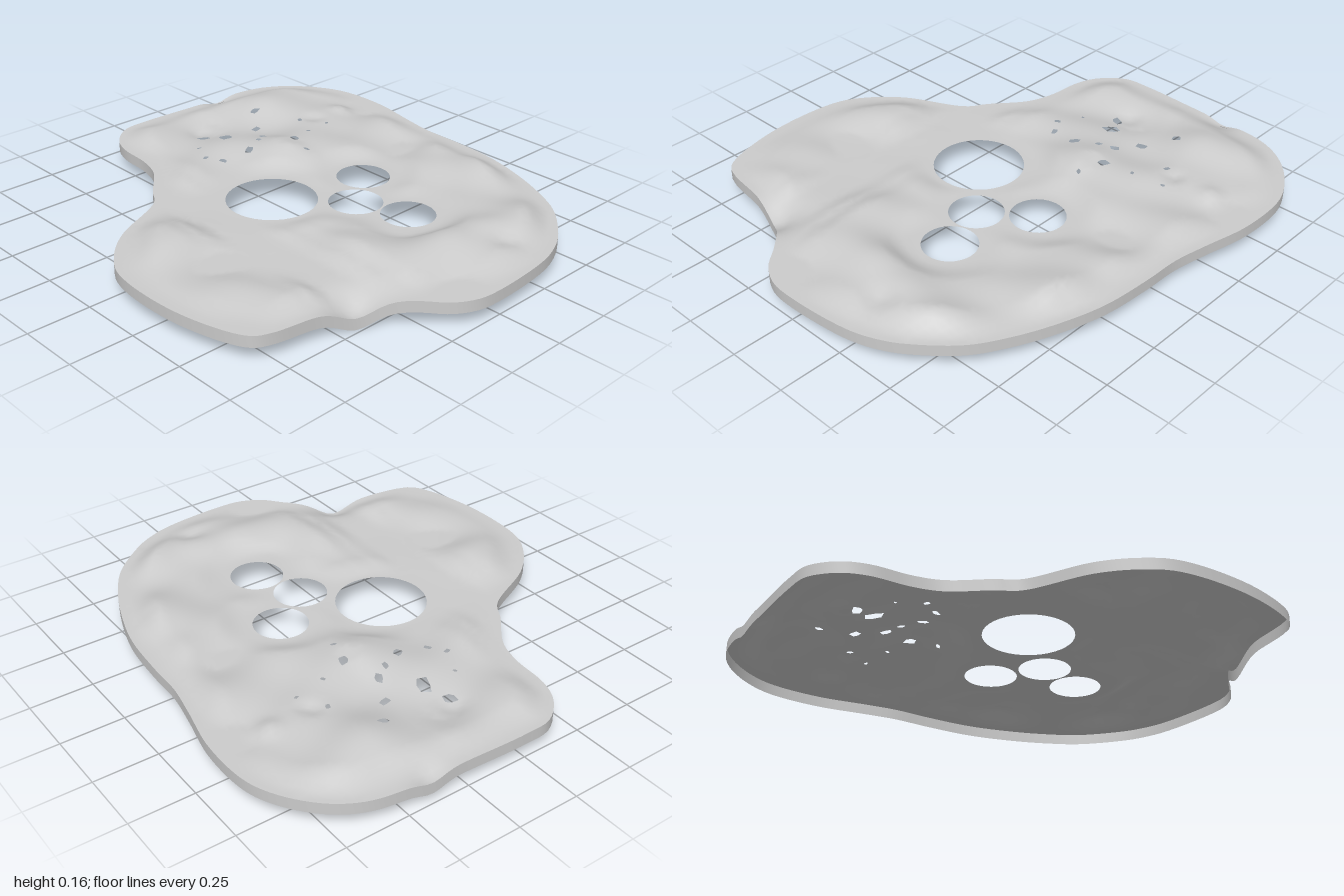
import * as THREE from 'three';

// Plan outline (x, z)
const OUTLINE = [
  [-0.115, -0.99], [0, -1], [0.27, -0.99], [0.4, -0.99], [0.61, -0.965], [0.72, -0.91], [0.81, -0.82],
  [0.875, -0.71], [0.9, -0.615], [0.9, -0.42], [0.86, -0.22], [0.835, -0.08], [0.83, 0.08], [0.81, 0.29],
  [0.755, 0.48], [0.69, 0.63], [0.61, 0.76], [0.465, 0.89], [0.39, 0.935], [0.275, 0.975], [0, 1],
  [-0.105, 0.99], [-0.19, 0.945], [-0.26, 0.865], [-0.34, 0.79], [-0.42, 0.74], [-0.55, 0.705], [-0.76, 0.67],
  [-0.82, 0.635], [-0.9, 0.37], [-0.89, 0.03], [-0.825, -0.09], [-0.71, -0.2], [-0.465, -0.33], [-0.41, -0.41],
  [-0.3, -0.55], [-0.265, -0.66], [-0.25, -0.815], [-0.21, -0.91],
];
// Holes: x, z, radius
const ROUND_HOLES = [[-0.11, -0.045, 0.18], [0.295, 0.055, 0.108], [0.11, 0.195, 0.107], [0.18, 0.405, 0.107]];
const SMALL_HOLES = [
  [0.075, -0.69, 0.024], [0.375, -0.695, 0.019], [0.12, -0.595, 0.034], [0.285, -0.585, 0.02], [-0.03, -0.59, 0.008],
  [-0.08, -0.485, 0.013], [-0.04, -0.42, 0.015], [0.085, -0.4, 0.022], [0.175, -0.445, 0.014], [0.23, -0.48, 0.019],
  [0.285, -0.34, 0.022], [0.25, -0.23, 0.011], [0.4, -0.375, 0.009], [0.47, -0.505, 0.012], [0.53, -0.4, 0.008],
];
// Height limit of the bumps above the rim, by x
const RIDGE = [
  [-0.9, 0.01], [-0.8, 0.02], [-0.6, 0.05], [-0.53, 0.04], [-0.45, 0.006], [-0.34, 0.006], [-0.25, 0.032],
  [-0.16, 0.058], [0.2, 0.06], [0.3, 0.045], [0.48, 0.06], [0.78, 0.055], [0.9, 0.02],
];
// Local rises and hollows: x, z, radius, height
const BUMPS = [
  [-0.43, 0.735, 0.09, -0.055], [0.4, -0.99, 0.06, -0.022], [0.12, 0.68, 0.12, 0.035], [0.28, 0.7, 0.1, 0.03],
  [0.25, 0.82, 0.06, -0.02], [0.1, -0.73, 0.05, -0.015], [0.53, -0.48, 0.04, -0.015], [0.7, -0.48, 0.05, 0.02],
  [-0.68, 0.66, 0.08, 0.012], [-0.7, 0.02, 0.11, 0.02], [0.7, 0.1, 0.09, 0.02],
];
const RIM = 0.1, SKIRT = 0.045, STEP = 0.045;

const smooth = THREE.MathUtils.smoothstep;

function sampleOutline(count) {
  const pts = OUTLINE.map(([x, z]) => new THREE.Vector3(x, 0, z));
  return new THREE.CatmullRomCurve3(pts, true, 'centripetal').getSpacedPoints(count)
    .slice(0, count).map((p) => new THREE.Vector2(p.x, p.z));
}

function ridgeLimit(x) {
  let i = 1;
  while (i < RIDGE.length - 1 && x > RIDGE[i][0]) i++;
  const [a, ha] = RIDGE[i - 1], [b, hb] = RIDGE[i];
  return THREE.MathUtils.lerp(ha, hb, smooth(x, a, b));
}

// Height field: flat at the rim and round the large holes, rolling elsewhere
function makeHeight(edge) {
  return (x, z) => {
    let d2 = Infinity;
    for (const p of edge) d2 = Math.min(d2, (p.x - x) ** 2 + (p.y - z) ** 2);
    let rolling = smooth(Math.sqrt(d2), 0.02, 0.15);
    for (const [hx, hz, r] of ROUND_HOLES) rolling *= smooth(Math.hypot(x - hx, z - hz), r + 0.01, r + 0.14);
    const wave = 0.42 + 0.22 * Math.sin(7.1 * x + 4.3 * z + 1) + 0.2 * Math.sin(11.5 * z - 3.7 * x)
      + 0.16 * Math.sin(13 * x - 9 * z + 2) + 0.1 * Math.sin(21 * z + 9 * x);
    let y = RIM + ridgeLimit(x) * THREE.MathUtils.clamp(wave, 0, 1) * rolling;
    BUMPS.forEach(([bx, bz, r, h], i) => {
      const w = Math.exp(-((x - bx) ** 2 + (z - bz) ** 2) / (r * r));
      y += h * w * (i < 2 ? 1 : rolling);
    });
    return Math.min(y, 0.16);
  };
}

function circlePoints([x, z, r], count, wobble) {
  return Array.from({ length: count }, (_, i) => {
    const a = (i / count) * Math.PI * 2 + wobble * x * 40;
    const k = r * (1 + wobble * Math.sin(i * 2.3 + x * 50 + z * 31));
    return new THREE.Vector2(x + k * Math.cos(a), z + k * Math.sin(a));
  });
}

// Triangulated sheet with holes; long edges are halved until the mesh is fine enough to bend
function sheetGeometry(edge, holes, height) {
  const contour = edge.slice();
  if (THREE.ShapeUtils.isClockWise(contour)) contour.reverse();
  const rings = holes.map((h) => (THREE.ShapeUtils.isClockWise(h) ? h : h.slice().reverse()));
  const verts = [contour, ...rings].flat();
  const stack = THREE.ShapeUtils.triangulateShape(contour, rings).map((t) => t.slice());
  const mids = new Map(), index = [];
  const midpoint = (a, b) => {
    const key = a < b ? a + '_' + b : b + '_' + a;
    if (!mids.has(key)) {
      mids.set(key, verts.length);
      verts.push(verts[a].clone().add(verts[b]).multiplyScalar(0.5));
    }
    return mids.get(key);
  };
  while (stack.length) {
    let [a, b, c] = stack.pop();
    const ab = verts[a].distanceTo(verts[b]), bc = verts[b].distanceTo(verts[c]), ca = verts[c].distanceTo(verts[a]);
    if (bc >= ab && bc >= ca) [a, b, c] = [b, c, a];
    else if (ca >= ab && ca >= bc) [a, b, c] = [c, a, b];
    if (Math.max(ab, bc, ca) > STEP) {
      const m = midpoint(a, b);
      stack.push([a, m, c], [m, b, c]);
    } else {
      index.push(a, c, b);
    }
  }
  const position = [], normal = [], e = 0.012, n = new THREE.Vector3();
  for (const { x, y: z } of verts) {
    position.push(x, height(x, z), z);
    n.set(height(x - e, z) - height(x + e, z), 2 * e, height(x, z - e) - height(x, z + e)).normalize();
    normal.push(n.x, n.y, n.z);
  }
  const g = new THREE.BufferGeometry();
  g.setAttribute('position', new THREE.Float32BufferAttribute(position, 3));
  g.setAttribute('normal', new THREE.Float32BufferAttribute(normal, 3));
  g.setIndex(index);
  return g;
}

// Thin wall hanging from the outer edge
function skirtGeometry(edge, height) {
  const position = [], index = [], n = edge.length;
  edge.forEach((p, i) => {
    const y = height(p.x, p.y), j = (i + 1) % n;
    position.push(p.x, y, p.y, p.x, y - SKIRT, p.y);
    index.push(2 * i, 2 * j, 2 * i + 1, 2 * j, 2 * j + 1, 2 * i + 1);
  });
  const g = new THREE.BufferGeometry();
  g.setAttribute('position', new THREE.Float32BufferAttribute(position, 3));
  g.setIndex(index);
  g.computeVertexNormals();
  return g;
}

export function createModel() {
  const group = new THREE.Group();
  group.name = 'terrainSlab';
  const material = new THREE.MeshStandardMaterial({ color: 0xcccccc, side: THREE.DoubleSide });
  const edge = sampleOutline(220);
  const height = makeHeight(edge);
  const holes = [
    ...ROUND_HOLES.map((h) => circlePoints(h, 40, 0)),
    ...SMALL_HOLES.map((h) => circlePoints(h, 6, 0.3)),
  ];
  const add = (name, geometry) => {
    const mesh = new THREE.Mesh(geometry, material);
    mesh.name = name;
    group.add(mesh);
  };
  add('bumpySurface', sheetGeometry(edge, holes, height));
  add('edgeSkirt', skirtGeometry(edge, height));
  return group;
}
